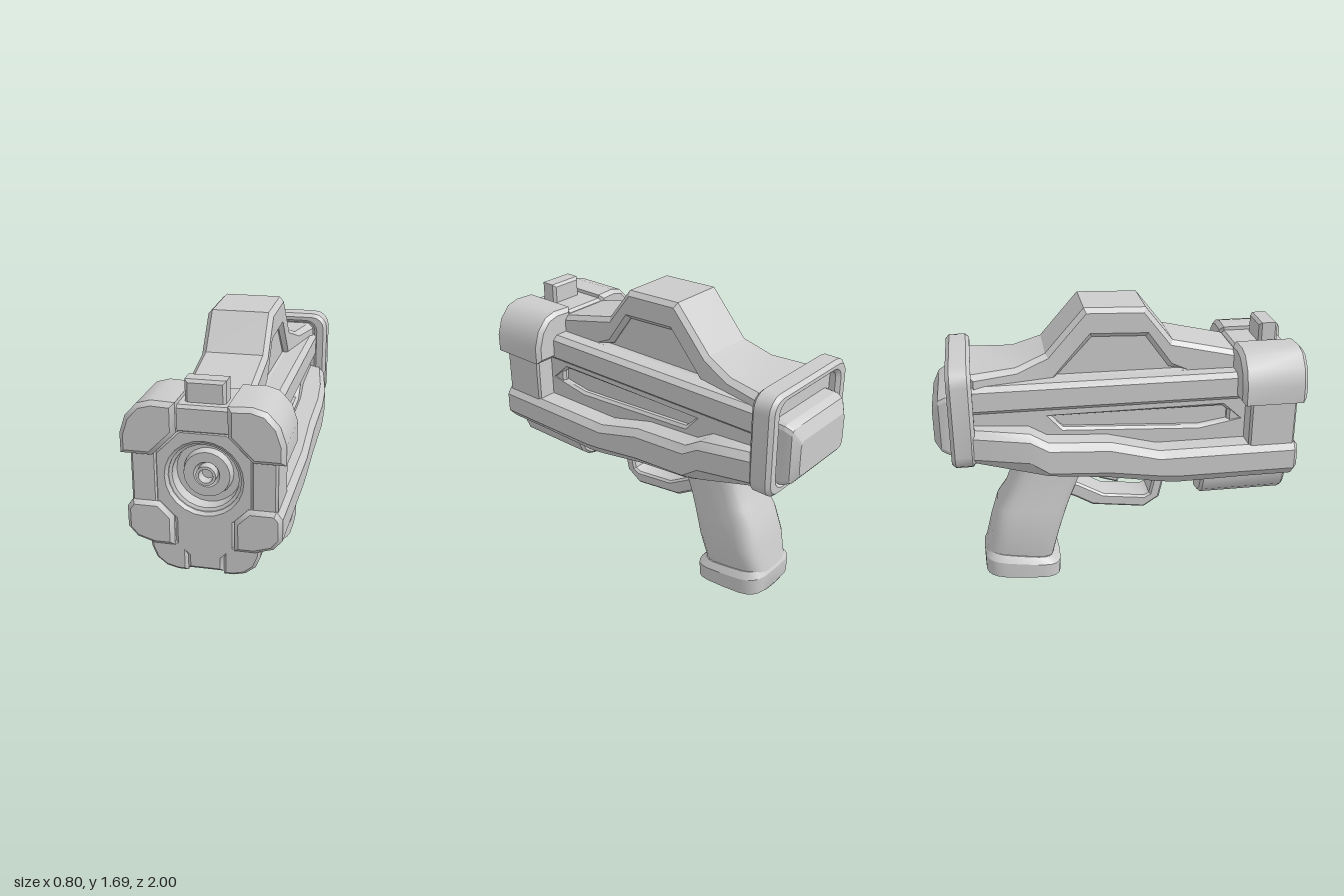
import * as THREE from 'three';
import { toCreasedNormals } from 'three/addons/utils/BufferGeometryUtils.js';

const material = new THREE.MeshStandardMaterial({ color: 0xcccccc, side: THREE.DoubleSide });
const toVectors = (pts) => pts.map(([a, b]) => new THREE.Vector2(a, b));
const mirrored = (pts) => pts.map(([x, y]) => [-x, y]);

export function createModel() {
  const model = new THREE.Group();

  const add = (name, geometry, crease = 0.6) => {
    const mesh = new THREE.Mesh(toCreasedNormals(geometry, crease), material);
    mesh.name = name;
    model.add(mesh);
    return mesh;
  };

  // Extrusion whose ends are chamfered inwards, spanning 0..depth
  const extrude = (pts, depth, bevel, hole) => {
    const shape = new THREE.Shape(toVectors(pts));
    if (hole) shape.holes.push(new THREE.Path(toVectors(hole)));
    const geo = new THREE.ExtrudeGeometry(shape, {
      depth: depth - 2 * bevel, bevelEnabled: bevel > 0, bevelSize: bevel,
      bevelThickness: bevel, bevelOffset: -bevel, bevelSegments: 1,
    });
    return geo.translate(0, 0, bevel);
  };
  // Front outline (x, y) pushed along z
  const slab = (pts, z0, z1, bevel = 0, hole) => extrude(pts, z1 - z0, bevel, hole).translate(0, 0, z0);
  // Side outline (z, y) pushed across x, centred
  const plate = (pts, halfWidth, bevel = 0, hole) =>
    extrude(pts, 2 * halfWidth, bevel, hole).rotateY(-Math.PI / 2).translate(halfWidth, 0, 0);
  const box = (x0, x1, y0, y1, z0, z1, bevel = 0.015) =>
    slab([[x0, y0], [x1, y0], [x1, y1], [x0, y1]], z0, z1, bevel);

  const roundRect = (hw, y0, y1, r, steps = 4) => {
    const pts = [];
    const centres = [[hw - r, y1 - r], [r - hw, y1 - r], [r - hw, y0 + r], [hw - r, y0 + r]];
    centres.forEach(([cx, cy], q) => {
      for (let i = 0; i <= steps; i++) {
        const a = (q + i / steps) * Math.PI / 2;
        pts.push([cx + r * Math.cos(a), cy + r * Math.sin(a)]);
      }
    });
    return pts;
  };

  // Closed skin over rings of equal point count, wound outwards
  const loft = (rings) => {
    const n = rings[0].length;
    const tris = [];
    const centre = (ring) => [0, 1, 2].map((k) => ring.reduce((s, p) => s + p[k], 0) / n);
    for (let i = 0; i + 1 < rings.length; i++) {
      for (let j = 0; j < n; j++) {
        const k = (j + 1) % n;
        const [a, b, c, d] = [rings[i][j], rings[i][k], rings[i + 1][k], rings[i + 1][j]];
        tris.push([a, b, c], [a, c, d]);
      }
    }
    const first = rings[0], last = rings[rings.length - 1];
    for (let j = 0; j < n; j++) {
      const k = (j + 1) % n;
      tris.push([centre(first), first[k], first[j]], [centre(last), last[j], last[k]]);
    }
    const volume = tris.reduce((s, [a, b, c]) => s
      + a[0] * (b[1] * c[2] - b[2] * c[1]) + a[1] * (b[2] * c[0] - b[0] * c[2])
      + a[2] * (b[0] * c[1] - b[1] * c[0]), 0);
    if (volume < 0) tris.forEach((t) => t.reverse());
    const geo = new THREE.BufferGeometry();
    geo.setAttribute('position', new THREE.Float32BufferAttribute(tris.flat(2), 3));
    geo.computeVertexNormals();
    return geo;
  };

  // Middle body with a recessed slot on each side
  const slot = [[0.66, 1.05], [0.57, 1.125], [-0.38, 1.125], [-0.31, 1.055], [0.44, 1.015]];
  add('middleBody', plate([[0.75, 0.85], [0.75, 1.2], [-0.8, 1.2], [-0.8, 0.9]], 0.25, 0.015, slot));
  add('slotFloor', plate(slot, 0.215));

  // Long upper rails
  const rail = [[0.25, 1.32], [0.28, 1.295], [0.28, 1.19], [0.25, 1.165]];
  add('upperRails', slab([...rail, ...mirrored(rail).reverse()], -0.8, 0.7));

  // Raised top spine with recessed side windows, flaring at the back
  const spineOutline = [[0.68, 1.27], [0.68, 1.405], [0.3, 1.49], [0.15, 1.68], [-0.18, 1.69],
    [-0.39, 1.45], [-0.55, 1.39], [-0.8, 1.38], [-0.8, 1.27]];
  const spineWindow = [[0.35, 1.325], [0.28, 1.34], [0.15, 1.52], [-0.14, 1.53], [-0.33, 1.325]];
  const spine = plate(spineOutline, 0.177, 0.025, spineWindow);
  const p = spine.attributes.position;
  for (let i = 0; i < p.count; i++) {
    const flare = THREE.MathUtils.clamp((-0.39 - p.getZ(i)) / 0.4, 0, 1);
    p.setX(i, p.getX(i) * (1 + 0.5 * flare));
  }
  spine.computeVertexNormals();
  add('topSpine', spine, 0.4);
  add('spineWindowFloor', plate(spineWindow, 0.145));

  // Lower hull: z, top of armour, foot of armour, keel, half width, keel half width
  const hull = [
    [0.7, 0.93, 0.78, 0.7, 0.385, 0.25], [0.3, 0.93, 0.78, 0.69, 0.385, 0.25],
    [0.2, 0.93, 0.79, 0.705, 0.385, 0.25], [-0.07, 1.0, 0.83, 0.755, 0.385, 0.23],
    [-0.4, 1.02, 0.85, 0.795, 0.385, 0.2], [-0.5, 1.08, 0.92, 0.8, 0.385, 0.18],
    [-0.8, 1.1, 0.94, 0.88, 0.335, 0.18],
  ].map(([z, top, foot, keel, w, kw]) => {
    const half = [[0.2, top], [w - 0.03, top], [w, top - 0.04], [w, foot],
      [w - 0.045, foot * 0.35 + keel * 0.65], [kw, keel]];
    return [...half, ...mirrored(half).reverse()].map(([x, y]) => [x, y, z]);
  });
  add('lowerHull', loft(hull), 0.5);

  // Front block with the muzzle opening
  const blockHalf = [[0.12, 1.31], [0.245, 1.185], [0.245, 0.92], [0.15, 0.84], [0.15, 0.7], [0.09, 0.64], [0.09, 0.57]];
  const muzzleHole = Array.from({ length: 24 }, (_, i) => {
    const a = (i / 24) * Math.PI * 2;
    return [0.18 * Math.cos(a), 1.065 + 0.18 * Math.sin(a)];
  });
  add('frontBlock', slab([...blockHalf, ...mirrored(blockHalf).reverse()], 0.6, 0.955, 0.015, muzzleHole));
  const muzzle = [[0.195, 0.94], [0.165, 0.925], [0.16, 0.86], [0.125, 0.86], [0.115, 0.9], [0.065, 0.9],
    [0.05, 0.87], [0.05, 0.92], [0.036, 0.92], [0.03, 0.87], [0, 0.87]];
  add('muzzle', new THREE.LatheGeometry(toVectors(muzzle), 24).rotateX(Math.PI / 2).translate(0, 1.065, 0));
  add('frontBridge', box(-0.14, 0.14, 1.29, 1.43, 0.65, 0.955));
  add('frontSight', box(-0.1, 0.1, 1.4, 1.54, 0.8, 0.905));

  // Mirrored front armour, pillars and underslung pods
  const upperCap = [[0.125, 1.45], [0.24, 1.455], [0.31, 1.435], [0.37, 1.37], [0.4, 1.28], [0.4, 1.18], [0.245, 1.18], [0.125, 1.3]];
  const lowerCap = [[0.15, 0.86], [0.22, 0.93], [0.355, 0.93], [0.385, 0.89], [0.385, 0.78], [0.34, 0.728], [0.25, 0.7], [0.15, 0.7]];
  const pillar = [[0.23, 0.9], [0.34, 0.9], [0.36, 0.92], [0.36, 1.2], [0.23, 1.2]];
  const pod = [[0.09, 0.72], [0.28, 0.72], [0.275, 0.67], [0.25, 0.61], [0.2, 0.57], [0.14, 0.555], [0.09, 0.555]];
  for (const [side, flip] of [['left', (s) => s], ['right', mirrored]]) {
    add(side + 'UpperCap', slab(flip(upperCap), 0.64, 1, 0.022));
    add(side + 'LowerCap', slab(flip(lowerCap), 0.6, 0.98, 0.02));
    add(side + 'Pillar', slab(flip(pillar), 0.7, 0.96, 0.012));
    add(side + 'Pod', slab(flip(pod), 0.46, 0.955, 0.015));
  }
  add('podBridge', box(-0.1, 0.1, 0.57, 0.66, 0.85, 0.94));

  // Rear frame and stepped end cap
  add('rearFrame', slab(roundRect(0.345, 0.87, 1.44, 0.09), -0.915, -0.785, 0.02, roundRect(0.265, 0.93, 1.38, 0.05)));
  add('rearPlate', slab(roundRect(0.29, 0.9, 1.4, 0.05), -0.86, -0.8));
  const capRings = [[-0.84, 0.25, 0.925, 1.28], [-0.925, 0.25, 0.925, 1.275], [-0.965, 0.24, 0.945, 1.255], [-1, 0.205, 0.99, 1.19]];
  add('rearCap', loft(capRings.map(([z, w, y0, y1]) => roundRect(w, y0, y1, 0.03, 2).map(([x, y]) => [x, y, z]))), 0.35);

  // Rounded sections, each from a front point to a back point (z, y) with a half width
  const section = ([zf, yf, zb, yb, w]) => Array.from({ length: 24 }, (_, i) => {
    const a = (i / 24) * Math.PI * 2;
    const soft = (v) => Math.sign(v) * Math.abs(v) ** 0.5;
    const t = (1 - soft(Math.cos(a))) / 2;
    return [w * soft(Math.sin(a)), yf + (yb - yf) * t, zf + (zb - zf) * t];
  });
  add('grip', loft([
    [-0.13, 0.84, -0.54, 0.86, 0.15], [-0.16, 0.78, -0.55, 0.8, 0.15], [-0.25, 0.57, -0.63, 0.59, 0.165],
    [-0.28, 0.49, -0.685, 0.51, 0.175], [-0.33, 0.34, -0.73, 0.36, 0.19], [-0.375, 0.16, -0.77, 0.21, 0.165],
  ].map(section)), 0.5);
  add('gripBase', loft([
    [-0.37, 0.175, -0.755, 0.24, 0.175], [-0.33, 0.135, -0.777, 0.2, 0.2],
    [-0.333, 0.055, -0.777, 0.1, 0.2], [-0.365, 0.005, -0.765, 0.075, 0.11],
  ].map(section)), 0.5);

  // Trigger guard and trigger
  add('triggerGuard', plate([[0.31, 0.72], [0.26, 0.49], [0.17, 0.43], [-0.135, 0.47], [-0.235, 0.53], [-0.3, 0.56],
    [-0.27, 0.64], [-0.21, 0.615], [-0.07, 0.535], [0.17, 0.505], [0.2, 0.52], [0.245, 0.72]], 0.09, 0.012));
  add('trigger', plate([[-0.03, 0.8], [-0.02, 0.65], [0.03, 0.625], [0.02, 0.585], [-0.09, 0.62], [-0.16, 0.8]], 0.05, 0.012));

  return model;
}
